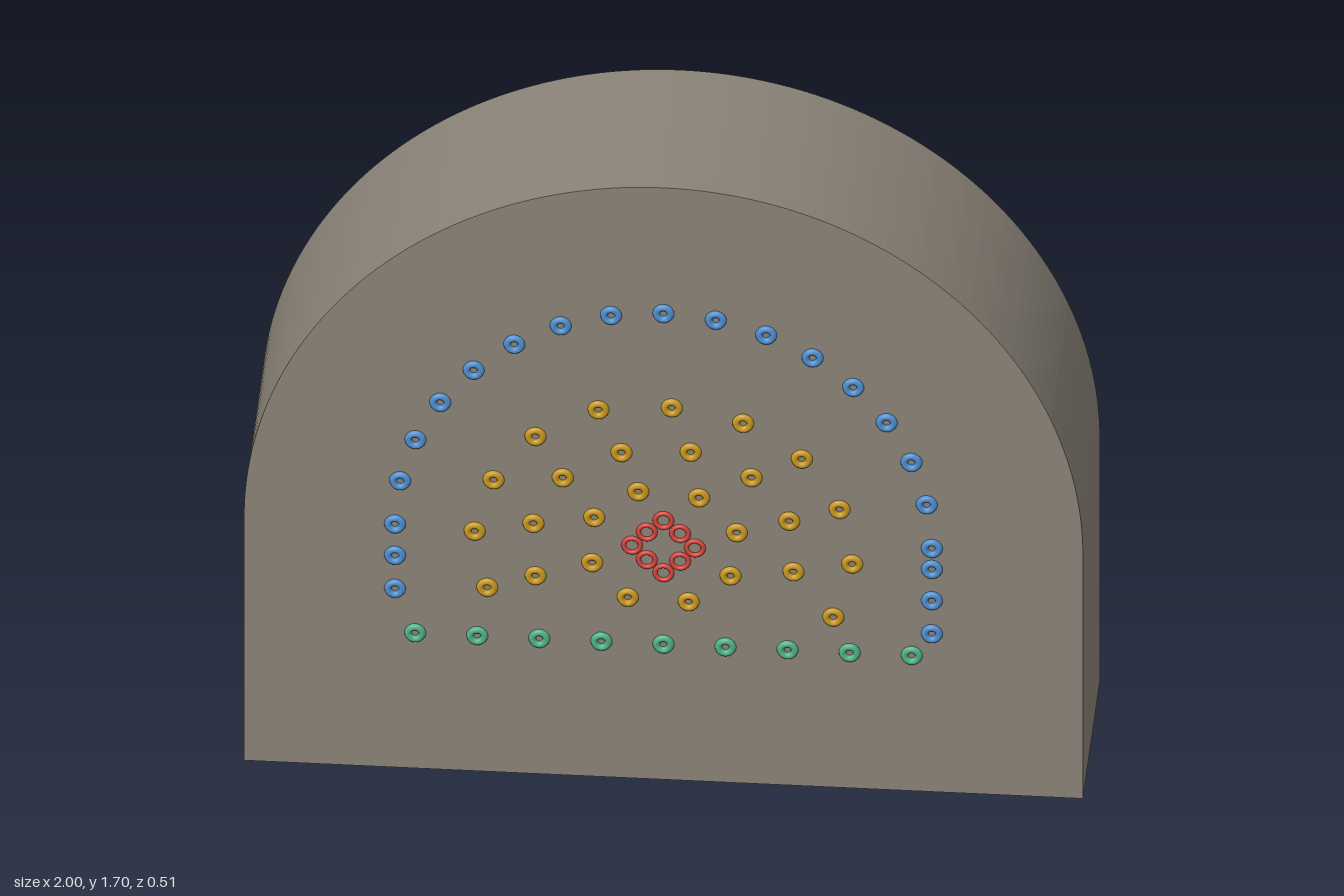
import * as THREE from 'three';

const material = (name, color) => {
  const m = new THREE.MeshStandardMaterial({ color });
  m.name = name;
  return m;
};

const CENTRE_Y = 0.7; // spring line of both arches
const FACE_Z = 0.245, BACK_Z = -0.255, NICHE_Z = 0.095;

// Arch outline: straight jambs topped by a half circle
function trace(path, radius, floor) {
  path.moveTo(-radius, floor);
  path.lineTo(radius, floor);
  path.lineTo(radius, CENTRE_Y);
  path.absarc(0, CENTRE_Y, radius, 0, Math.PI, false);
  path.lineTo(-radius, floor);
  return path;
}

function slab(name, shape, z0, z1, mat) {
  const geo = new THREE.ExtrudeGeometry(shape, { depth: z1 - z0, bevelEnabled: false, curveSegments: 48 });
  geo.translate(0, 0, z0);
  const mesh = new THREE.Mesh(geo, mat);
  mesh.name = name;
  return mesh;
}

// One group of small rings set into the front face
function rings(name, points, mat, radius, tube) {
  const group = new THREE.Group();
  group.name = name;
  const geo = new THREE.TorusGeometry(radius, tube, 8, 20);
  for (const [x, y] of points) {
    const ring = new THREE.Mesh(geo, mat);
    ring.name = 'holeRing';
    ring.position.set(x, y, FACE_Z + 0.001);
    group.add(ring);
  }
  return group;
}

export function createModel() {
  const model = new THREE.Group();
  model.name = 'tunnelFace';
  const rock = material('rock grey', 0x8b8378);
  const blue = material('contour blue', 0x4f8fd0);
  const gold = material('production gold', 0xc9981f);
  const green = material('floor green', 0x4fb286);
  const red = material('cut red', 0xd9453a);

  // Rock surround, open at the back, closed by the front wall
  const surround = trace(new THREE.Shape(), 1, 0);
  surround.holes.push(trace(new THREE.Path(), 0.665, 0.33));
  model.add(slab('rockSurround', surround, BACK_Z, NICHE_Z, rock));
  model.add(slab('frontWall', trace(new THREE.Shape(), 1, 0), NICHE_Z, FACE_Z, rock));

  // Contour holes: arch crown, then the two jambs
  const contour = [];
  for (let i = -8; i <= 8; i++) {
    const a = (i * Math.PI) / 16;
    contour.push([0.64 * Math.sin(a), CENTRE_Y + 0.64 * Math.cos(a)]);
  }
  for (const y of [0.61, 0.515]) contour.push([-0.64, y]);
  for (const y of [0.64, 0.55, 0.455]) contour.push([0.64, y]);
  model.add(rings('contourHoles', contour, blue, 0.017, 0.009));

  // Floor row
  const floor = [];
  for (let i = -4; i <= 4; i++) floor.push([i * 0.148, 0.39]);
  model.add(rings('floorHoles', floor, green, 0.017, 0.009));

  // Diamond of cut holes
  const cut = [];
  for (let i = 0; i < 8; i++) {
    const a = (i * Math.PI) / 4, r = i % 2 ? 0.056 : 0.075;
    cut.push([r * Math.cos(a), 0.67 + r * Math.sin(a)]);
  }
  model.add(rings('cutHoles', cut, red, 0.02, 0.006));

  // Scattered production holes, row by row
  const production = [
    [-0.155, 1.055], [0.02, 1.07], [0.19, 1.035],
    [-0.305, 0.97], [-0.10, 0.935], [0.065, 0.945], [0.33, 0.94], [0.21, 0.88],
    [-0.405, 0.84], [-0.24, 0.855], [-0.06, 0.825], [0.085, 0.815], [0.42, 0.80], [0.30, 0.76],
    [-0.45, 0.69], [-0.31, 0.72], [-0.165, 0.745], [0.175, 0.72],
    [-0.17, 0.615], [0.16, 0.595], [0.31, 0.615], [0.45, 0.645],
    [-0.42, 0.53], [-0.305, 0.57], [-0.085, 0.52], [0.06, 0.515], [0.405, 0.49],
  ];
  model.add(rings('productionHoles', production, gold, 0.017, 0.009));
  return model;
}
